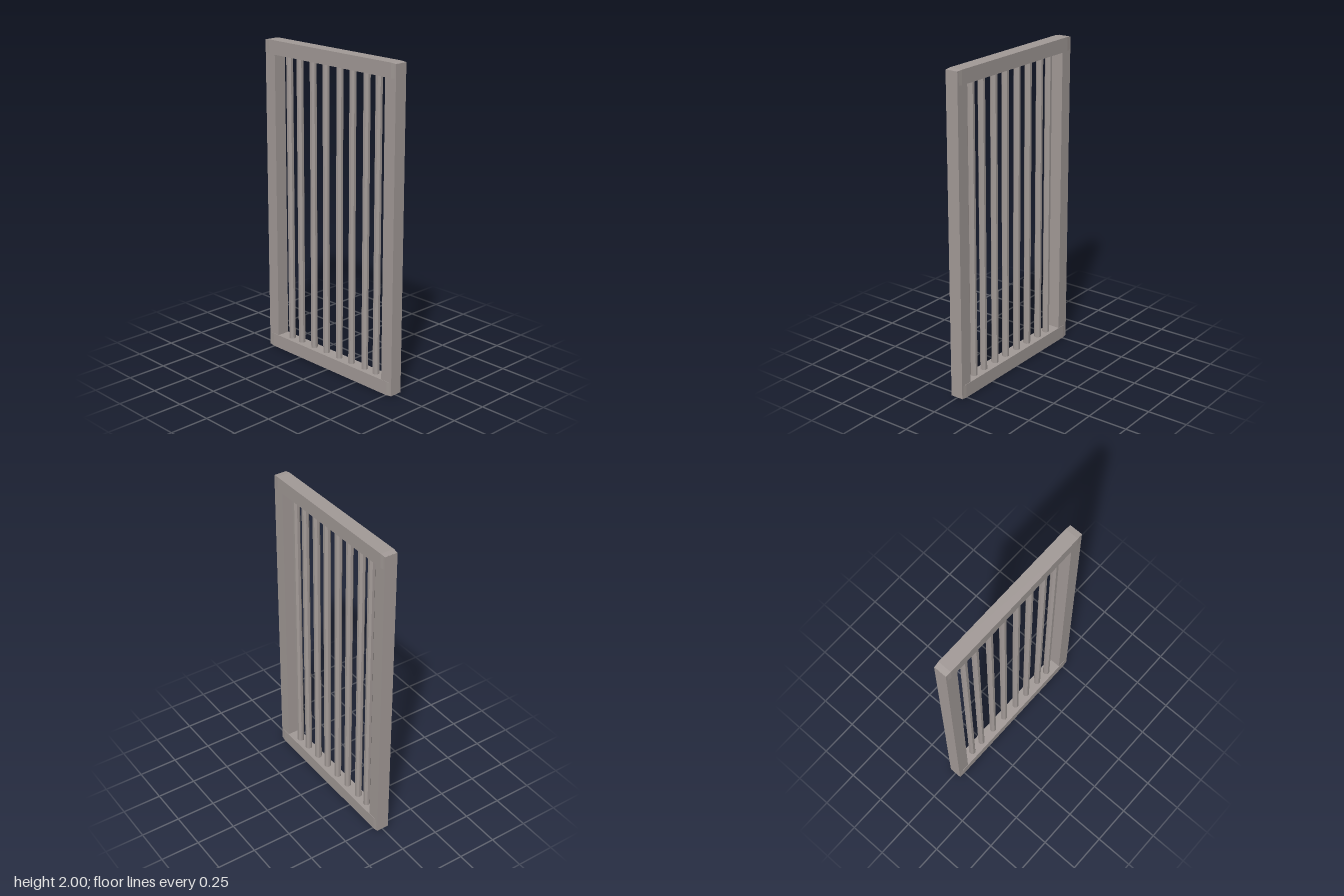
import * as THREE from 'three';

const material = new THREE.MeshStandardMaterial({ color: 0xa39b98, flatShading: true });

// Horizontal rail along z whose ends taper slightly
function railGeometry() {
  const size = 0.087, half = 0.539, shoulder = 0.505;
  const g = new THREE.BoxGeometry(size, size, half * 2, 1, 1, 3);
  const p = g.attributes.position;
  for (let i = 0; i < p.count; i++) {
    const z = p.getZ(i);
    if (Math.abs(z) > half - 0.01) {
      p.setX(i, p.getX(i) * 0.92);
      p.setY(i, p.getY(i) * 0.92);
    } else {
      p.setZ(i, Math.sign(z) * shoulder);
    }
  }
  g.computeVertexNormals();
  return g;
}

export function createModel() {
  const group = new THREE.Group();
  const add = (name, geometry, y, z) => {
    const mesh = new THREE.Mesh(geometry, material);
    mesh.name = name;
    mesh.position.set(0, y, z);
    group.add(mesh);
  };

  // Outer frame: two posts and two rails
  const post = new THREE.BoxGeometry(0.082, 1.992, 0.082);
  add('frontPost', post, 1, 0.5);
  add('backPost', post, 1, -0.5);
  const rail = railGeometry();
  add('topRail', rail, 1.9565, 0);
  add('bottomRail', rail, 0.0435, 0);

  // Eight vertical bars, slightly unevenly spaced
  const bar = new THREE.CylinderGeometry(0.022, 0.022, 1.87, 8);
  bar.rotateY(Math.PI / 8);
  [0.375, 0.28, 0.167, 0.06, -0.055, -0.165, -0.28, -0.371].forEach((z, i) => {
    add('bar' + (i + 1), bar, 1, z);
  });

  return group;
}
